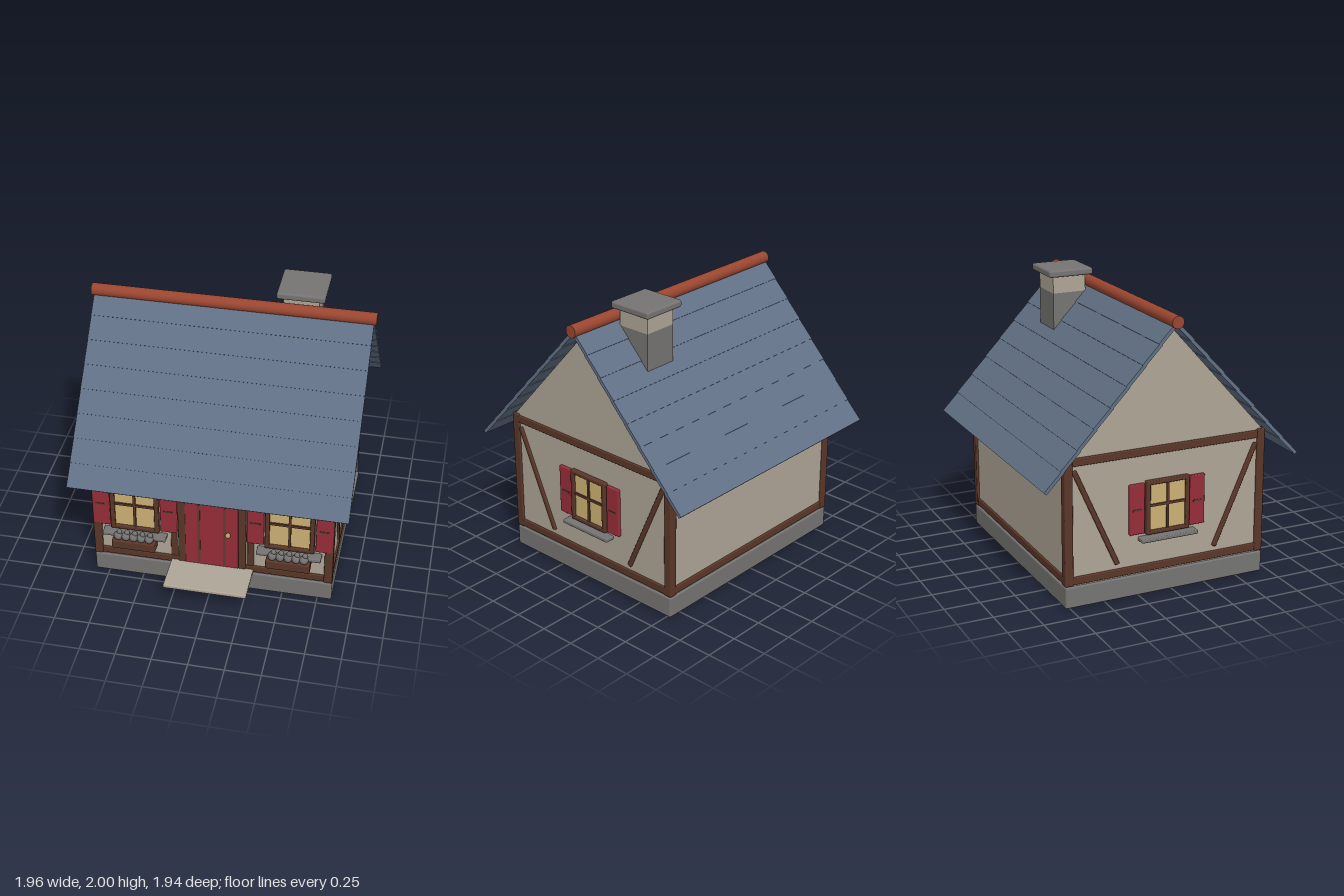
import * as THREE from 'three';
import { RoundedBoxGeometry } from 'three/addons/geometries/RoundedBoxGeometry.js';

const mat = (name, color) => Object.assign(new THREE.MeshStandardMaterial({ color }), { name });
const plaster = mat('plaster', 0xaea596);
const stone = mat('grey stone', 0x757472);
const timber = mat('dark timber', 0x5a3628);
const red = mat('painted red', 0x962d39);
const slate = mat('blue slate', 0x617085);
const clay = mat('ridge clay', 0x9a4630);
const glass = mat('warm glass', 0xcdb174);
const brass = mat('brass', 0xb89a5c);
const groove = mat('groove brown', 0x5e3b30);

const CZ = -0.04; // middle of the house in z

function add(parent, name, geo, material, x = 0, y = 0, z = 0) {
  const m = new THREE.Mesh(geo, material);
  m.name = name;
  m.position.set(x, y, z);
  parent.add(m);
  return m;
}
const box = (parent, name, material, w, h, d, x, y, z) =>
  add(parent, name, new THREE.BoxGeometry(w, h, d), material, x, y, z);
const softBox = (parent, name, material, w, h, d, x, y, z, r = 0.008) =>
  add(parent, name, new RoundedBoxGeometry(w, h, d, 2, r), material, x, y, z);

// Window facing +z with its centre at the origin, on the wall surface
function makeWindow() {
  const g = new THREE.Group();
  g.name = 'window';
  box(g, 'pane', glass, 0.29, 0.35, 0.016, 0, 0, 0.008);
  for (const s of [-1, 1]) {
    softBox(g, 'frameSide', timber, 0.032, 0.405, 0.045, s * 0.156, 0, 0.0125);
    softBox(g, 'frameRail', timber, 0.345, 0.03, 0.045, 0, s * 0.1875, 0.0125);
    softBox(g, 'shutter', red, 0.12, 0.38, 0.03, s * 0.24, 0, 0.007);
    box(g, 'shutterGroove', groove, 0.07, 0.014, 0.004, s * 0.24, -0.005, 0.0235);
  }
  box(g, 'muntinUpright', timber, 0.018, 0.36, 0.014, 0, 0, 0.02);
  box(g, 'muntinBar', timber, 0.29, 0.018, 0.014, 0, 0.015, 0.02);
  softBox(g, 'sill', stone, 0.45, 0.03, 0.09, 0, -0.23, 0.027);
  return g;
}

// Planter with a row of round flowers
function makeFlowerBox() {
  const g = new THREE.Group();
  g.name = 'flowerBox';
  softBox(g, 'planter', timber, 0.31, 0.07, 0.09, 0, -0.295, 0.055);
  for (let i = 0; i < 5; i++) {
    const x = (i - 2) * 0.055;
    add(g, 'flower', new THREE.SphereGeometry(0.032, 10, 8), stone, x, -0.228, 0.075);
    add(g, 'bloom', new THREE.SphereGeometry(0.02, 8, 6), stone, x + 0.008, -0.196, 0.07);
  }
  return g;
}

// One slope of overlapping slate courses, running down towards +z from the ridge
function makeSlope() {
  const g = new THREE.Group();
  g.name = 'roofSlope';
  const drop = 1.0, run = 0.915, rows = 8;
  const angle = Math.atan2(drop, run), step = Math.hypot(drop, run) / rows;
  for (let i = 0; i < rows; i++) {
    const t = (i + 0.5) / rows;
    const m = box(g, 'slateCourse', slate, 1.92, 0.024, step + 0.012, 0, -drop * t, run * t);
    m.rotation.x = angle - 0.03;
  }
  return g;
}

export function createModel() {
  const house = new THREE.Group();
  house.name = 'cottage';

  // Base, walls and gable
  softBox(house, 'foundation', stone, 1.7, 0.15, 1.48, 0, 0.075, CZ, 0.012);
  box(house, 'walls', plaster, 1.67, 0.9, 1.45, 0, 0.59, CZ);
  const tri = new THREE.Shape([[-0.725, 1.04], [0.725, 1.04], [0, 1.85]].map(p => new THREE.Vector2(...p)));
  const gable = new THREE.ExtrudeGeometry(tri, { depth: 1.67, bevelEnabled: false });
  gable.translate(0, 0, -0.835).rotateY(Math.PI / 2);
  add(house, 'gable', gable, plaster, 0, 0, CZ);

  // Timber frame
  for (const s of [-1, 1]) {
    for (const e of [-1, 1]) {
      softBox(house, 'cornerPost', timber, 0.06, 0.89, 0.06, s * 0.82, 0.6, CZ + e * 0.712);
      // Sloping brace on each side wall
      const brace = softBox(house, 'brace', timber, 0.03, 0.765, 0.034, s * 0.836, 0.6, CZ + e * 0.517);
      brace.rotation.x = e * Math.atan2(0.31, 0.7);
    }
    for (const y of [0.187, 1.008]) {
      softBox(house, 'sideBeam', timber, 0.05, 0.056, 1.4, s * 0.822, y, CZ);
      softBox(house, 'longBeam', timber, 1.62, 0.056, 0.05, 0, y, CZ + s * 0.712);
    }
    softBox(house, 'frontPost', timber, 0.046, 0.84, 0.05, s * 0.273, 0.6, 0.666);
    softBox(house, 'doorFrame', timber, 0.054, 0.84, 0.06, s * 0.213, 0.6, 0.675);

    // Windows, planters and side windows
    const front = makeWindow();
    front.position.set(s * 0.545, 0.62, 0.682);
    front.add(makeFlowerBox());
    house.add(front);
    const side = makeWindow();
    side.scale.setScalar(0.93);
    side.position.set(s * 0.837, 0.617, CZ);
    side.rotation.y = s * Math.PI / 2;
    house.add(side);

    // Roof slope
    const slope = makeSlope();
    slope.position.set(0, 1.877, CZ);
    slope.rotation.y = s > 0 ? 0 : Math.PI;
    house.add(slope);
  }

  // Door with a rounded head
  box(house, 'door', red, 0.374, 0.67, 0.04, 0, 0.515, 0.686);
  const head = new THREE.CylinderGeometry(0.183, 0.183, 0.044, 32).rotateX(Math.PI / 2);
  add(house, 'doorHead', head, red, 0, 0.85, 0.686);
  for (const s of [-1, 1]) box(house, 'doorGroove', groove, 0.018, 0.52, 0.006, s * 0.09, 0.46, 0.708);
  add(house, 'doorKnob', new THREE.SphereGeometry(0.019, 14, 10), brass, 0.118, 0.492, 0.724);
  softBox(house, 'doorstep', plaster, 0.585, 0.03, 0.29, 0, 0.17, 0.825);

  // Ridge
  const ridge = new THREE.CylinderGeometry(0.043, 0.043, 1.955, 20).rotateZ(Math.PI / 2);
  add(house, 'ridge', ridge, clay, 0, 1.887, CZ);

  // Chimney
  box(house, 'chimneyBase', stone, 0.245, 0.33, 0.245, 0.458, 1.665, -0.215);
  box(house, 'chimneyTop', plaster, 0.245, 0.125, 0.245, 0.458, 1.8925, -0.215);
  softBox(house, 'chimneyCap', stone, 0.33, 0.05, 0.33, 0.458, 1.975, -0.215, 0.015);

  return house;
}
